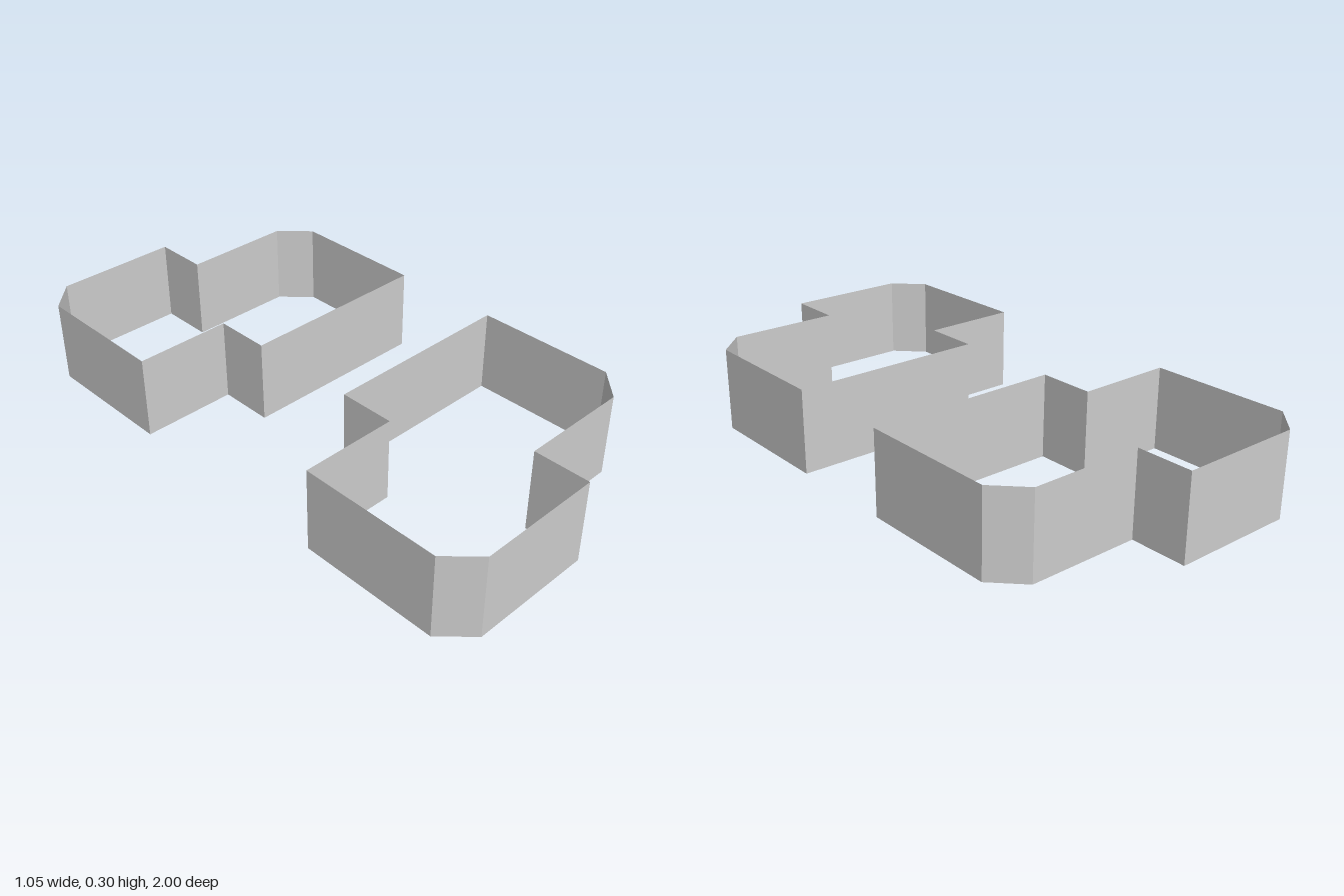
import * as THREE from 'three';

const HEIGHT = 0.3;

// Plan outline of the front loop as [x, z]; the back loop mirrors it in z
const OUTLINE = [
  [-0.423, 1], [0.022, 1], [0.022, 0.8], [0.423, 0.8], [0.523, 0.7],
  [0.523, 0.2], [-0.177, 0.2], [-0.177, 0.4], [-0.523, 0.4], [-0.523, 0.9],
];

// Thin upright wall following a closed outline, open at top and bottom
function wallLoop(points) {
  const positions = [];
  points.forEach(([x0, z0], i) => {
    const [x1, z1] = points[(i + 1) % points.length];
    positions.push(x0, 0, z0, x1, 0, z1, x1, HEIGHT, z1);
    positions.push(x0, 0, z0, x1, HEIGHT, z1, x0, HEIGHT, z0);
  });
  const geometry = new THREE.BufferGeometry();
  geometry.setAttribute('position', new THREE.Float32BufferAttribute(positions, 3));
  geometry.computeVertexNormals();
  return geometry;
}

export function createModel() {
  const group = new THREE.Group();
  group.name = 'wallLoops';
  const material = new THREE.MeshStandardMaterial({
    color: 0xcccccc, side: THREE.DoubleSide, flatShading: true,
  });

  const frontWall = new THREE.Mesh(wallLoop(OUTLINE), material);
  frontWall.name = 'frontWallLoop';

  // Reversed order keeps the outer faces pointing outwards
  const mirrored = OUTLINE.map(([x, z]) => [x, -z]).reverse();
  const backWall = new THREE.Mesh(wallLoop(mirrored), material);
  backWall.name = 'backWallLoop';

  group.add(frontWall, backWall);
  return group;
}
